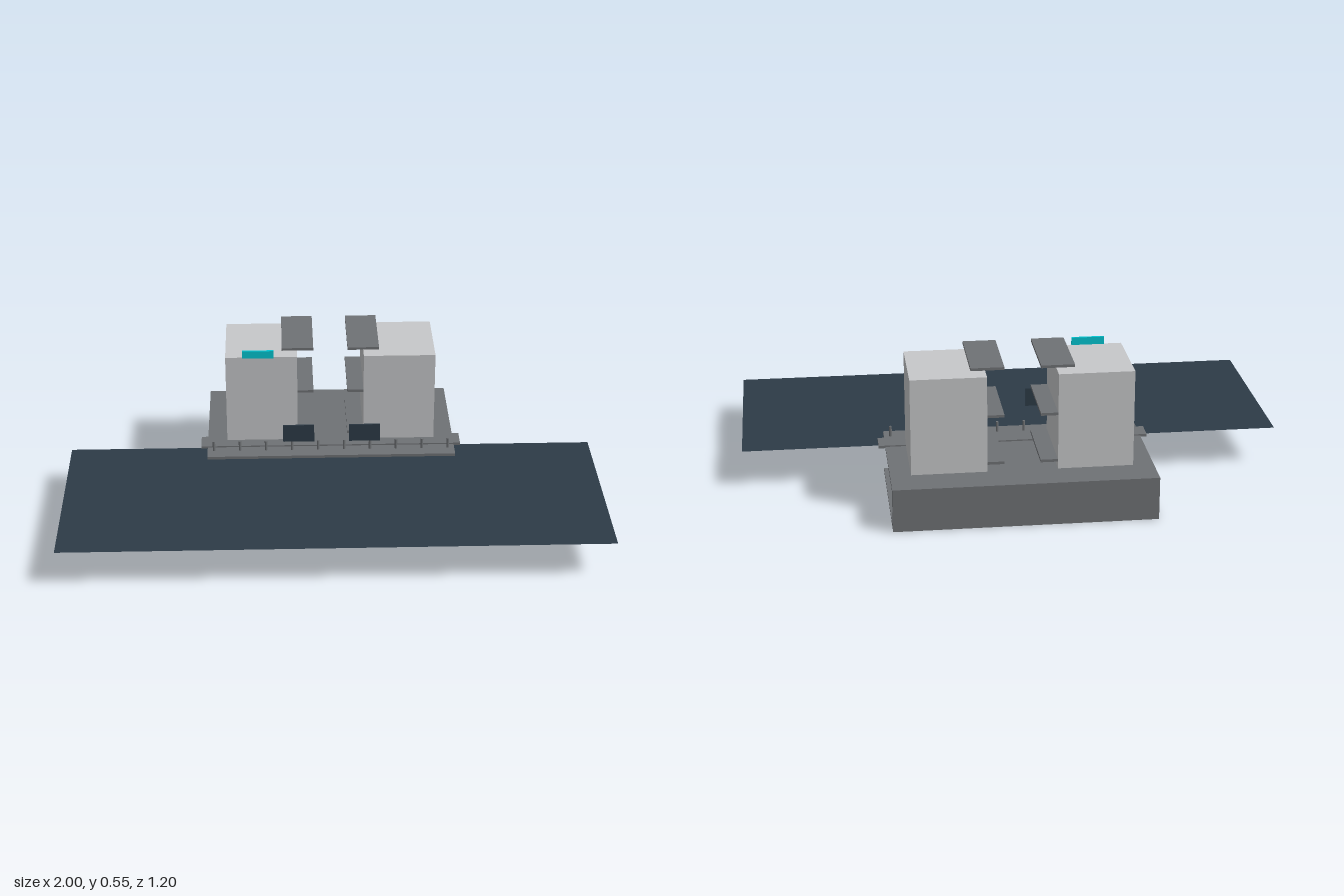
import * as THREE from 'three';

export function createModel() {
  const model = new THREE.Group();
  model.name = 'waterfrontTowers';

  const paint = (name, color, side = THREE.FrontSide) => {
    const m = new THREE.MeshStandardMaterial({ color, side });
    m.name = name;
    return m;
  };
  const concrete = paint('concreteGrey', 0x6f7275);
  const wall = paint('paleGrey', 0xc7c8ca);
  const water = paint('deepBlue', 0x2d3b47, THREE.DoubleSide);
  const cyan = paint('cyan', 0x00c6d2);

  const add = (name, geometry, material, x, y, z, parent = model) => {
    const mesh = new THREE.Mesh(geometry, material);
    mesh.name = name;
    mesh.position.set(x, y, z);
    parent.add(mesh);
    return mesh;
  };
  // Box given by its lower and upper limits on each axis
  const box = (name, material, [x0, x1], [y0, y1], [z0, z1], parent) =>
    add(name, new THREE.BoxGeometry(x1 - x0, y1 - y0, z1 - z0), material,
      (x0 + x1) / 2, (y0 + y1) / 2, (z0 + z1) / 2, parent);

  // Water sheet in front of the quay
  add('water', new THREE.PlaneGeometry(2, 0.75).rotateX(-Math.PI / 2), water, 0, 0.145, 0.225);

  // Open podium: floor, deck, rear wall and columns
  const podium = new THREE.Group();
  podium.name = 'podium';
  model.add(podium);
  box('podiumFloor', concrete, [-0.475, 0.475], [0, 0.01], [-0.6, -0.05], podium);
  box('podiumDeck', concrete, [-0.475, 0.475], [0.149, 0.16], [-0.6, -0.05], podium);
  box('rearWall', concrete, [-0.475, 0.475], [0.01, 0.149], [-0.6, -0.575], podium);
  for (const x of [-0.3, -0.1, 0.1, 0.3])
    for (const z of [-0.224, -0.424])
      box('column', concrete, [x - 0.0175, x + 0.0175], [0.01, 0.149], [z - 0.0175, z + 0.0175], podium);
  add('ceilingLamp', new THREE.CylinderGeometry(0.011, 0.003, 0.01, 8), concrete, 0, 0.138, -0.323, podium);

  // Promenade strip and mooring posts
  box('promenade', concrete, [-0.5, 0.5], [0.155, 0.165], [-0.203, -0.125]);
  const post = new THREE.CylinderGeometry(0.005, 0.005, 0.063, 8);
  for (let i = 0; i < 10; i++) add('mooringPost', post, concrete, -0.45 + i * 0.1, 0.168, -0.1);

  // Mirrored towers with inner terraces and floating screens
  for (const s of [-1, 1]) {
    const tower = new THREE.Group();
    tower.name = s > 0 ? 'leftTower' : 'rightTower';
    model.add(tower);
    const span = (a, b) => (s > 0 ? [a, b] : [-b, -a]);
    box('towerBlock', wall, span(0.127, 0.4), [0.16, 0.52], [-0.474, -0.174], tower);
    for (const y of [0.189, 0.368, 0.548])
      box('terrace', concrete, span(0.065, 0.185), [y - 0.005, y + 0.005], [-0.468, -0.182], tower);
    box('screen', water, span(0.066, 0.184), [0.232, 0.302], [-0.036, -0.031], tower);
  }

  // Bright roof-edge panel
  box('roofPanel', cyan, [-0.336, -0.216], [0.518, 0.548], [-0.178, -0.169]);

  return model;
}
